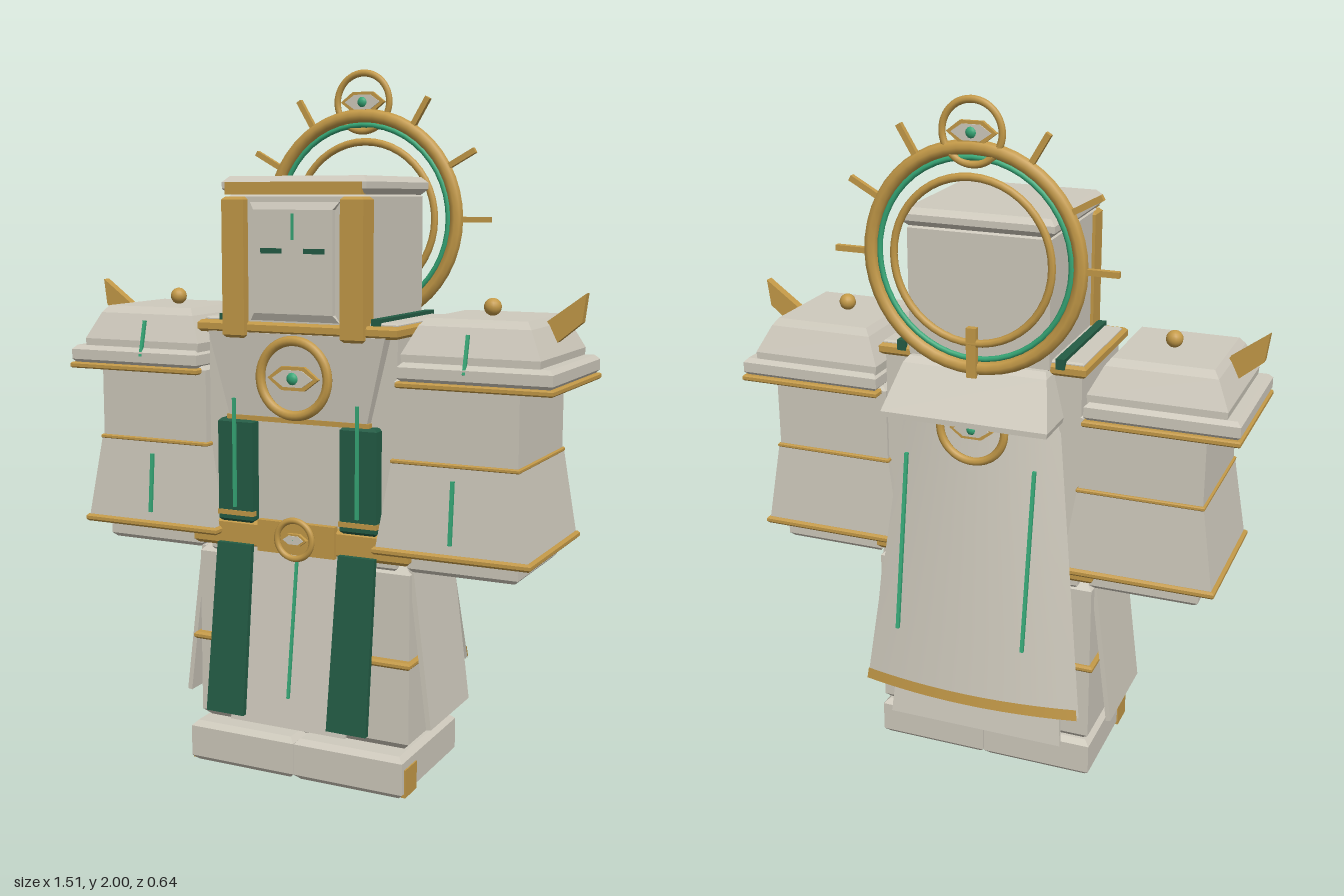
import * as THREE from 'three';

const mat = (name, color, side = THREE.FrontSide) => {
  const m = new THREE.MeshStandardMaterial({ color, side });
  m.name = name;
  return m;
};

export function createModel() {
  const stone = mat('pale stone', 0xcfcabd, THREE.DoubleSide);
  const gold = mat('gold', 0xc49a48);
  const green = mat('dark green cloth', 0x235c45);
  const emerald = mat('emerald', 0x36a877);
  const root = new THREE.Group();
  root.name = 'robedGuardian';

  const add = (name, geo, m, x = 0, y = 0, z = 0, parent = root) => {
    const mesh = new THREE.Mesh(geo, m);
    mesh.name = name;
    mesh.position.set(x, y, z);
    parent.add(mesh);
    return mesh;
  };
  const box = (name, m, w, h, d, x, y, z, parent) =>
    add(name, new THREE.BoxGeometry(w, h, d), m, x, y, z, parent);

  // Solid through rectangular sections [y, halfWidth, zBack, zFront], flat sided
  const loft = (name, m, sections, x = 0, parent = root) => {
    const pos = [];
    const rings = sections.map(([y, w, b, f]) => [[-w, y, f], [w, y, f], [w, y, b], [-w, y, b]]);
    const quad = (a, b, c, d) => [a, b, c, a, c, d].forEach(p => pos.push(...p));
    for (let i = 0; i < rings.length - 1; i++)
      for (let k = 0; k < 4; k++) {
        const n = (k + 1) % 4;
        quad(rings[i][k], rings[i][n], rings[i + 1][n], rings[i + 1][k]);
      }
    const lo = rings[0], hi = rings[rings.length - 1];
    quad(lo[3], lo[2], lo[1], lo[0]);
    quad(hi[0], hi[1], hi[2], hi[3]);
    const g = new THREE.BufferGeometry();
    g.setAttribute('position', new THREE.Float32BufferAttribute(pos, 3));
    g.computeVertexNormals();
    return add(name, g, m, x, 0, 0, parent);
  };
  // Box with small chamfers at its top and bottom
  const block = (name, m, w, y0, y1, b, f, c = 0.015, x = 0, parent = root) => loft(name, m, [
    [y0, w - c, b + c, f - c], [y0 + c, w, b, f], [y1 - c, w, b, f], [y1, w - c, b + c, f - c]], x, parent);
  // Thin panel leaning from its top edge (y, z) to its bottom edge
  const panel = (name, m, wTop, wBot, y0, z0, y1, z1, t, x = 0) => loft(name, m, [
    [y1, wBot, z1 - t / 2, z1 + t / 2], [y0, wTop, z0 - t / 2, z0 + t / 2]], x);
  const ring = (name, m, r, t, x, y, z, parent) =>
    add(name, new THREE.TorusGeometry(r, t, 8, 48), m, x, y, z, parent);

  // Lens shaped emblem with a gem, optionally ringed
  const lens = (w, h) => {
    const s = new THREE.Shape();
    s.moveTo(-w, 0);
    [[-w * 0.45, h], [w * 0.45, h], [w, 0], [w * 0.45, -h], [-w * 0.45, -h]].forEach(p => s.lineTo(...p));
    s.closePath();
    return s;
  };
  const extrude = (s, depth) => new THREE.ExtrudeGeometry(s, { depth, bevelEnabled: false });
  const emblem = (name, r, t, y, z, e, back = false) => {
    const g = new THREE.Group();
    g.name = name;
    g.position.set(0, y, z);
    if (back) g.rotation.y = Math.PI;
    root.add(g);
    ring('emblemRing', gold, r, t, 0, 0, 0, g);
    add('emblemLensRim', extrude(lens(e, e * 0.42), 0.012), gold, 0, 0, -0.006, g);
    add('emblemLens', extrude(lens(e * 0.8, e * 0.3), 0.018), stone, 0, 0, -0.009, g);
    const gem = add('emblemGem', new THREE.SphereGeometry(e * 0.26, 12, 8), emerald, 0, 0, 0, g);
    gem.scale.z = 0.9;
  };

  // Feet and lower robe
  for (const s of [-1, 1]) {
    block('foot', stone, 0.167, 0, 0.12, -0.13, 0.265, 0.015, s * 0.168);
    box('footSidePlate', gold, 0.012, 0.08, 0.08, s * 0.333, 0.043, 0.21);
  }
  block('lowerRobe', stone, 0.33, 0.11, 0.65, -0.125, 0.21, 0.03);
  block('robeBand', gold, 0.342, 0.36, 0.38, -0.137, 0.235, 0.006);
  box('frontHemTrim', gold, 0.4, 0.025, 0.012, 0, 0.19, 0.262);
  panel('frontPanel', stone, 0.16, 0.18, 0.66, 0.225, 0.165, 0.297, 0.012);
  panel('backPanel', stone, 0.23, 0.27, 0.63, -0.13, 0.14, -0.2, 0.012);
  panel('frontPanelLine', emerald, 0.004, 0.004, 0.63, 0.238, 0.25, 0.294, 0.008);
  for (const s of [-1, 1]) {
    const p = box('sidePanel', stone, 0.014, 0.45, 0.29, s * 0.355, 0.41, 0.05);
    p.rotation.z = s * 0.125;
  }

  // Torso, chest plate, belt
  block('torso', stone, 0.29, 0.62, 1.28, -0.13, 0.21);
  loft('chestPlate', stone, [[1.02, 0.21, 0.15, 0.235], [1.265, 0.27, 0.15, 0.25]]);
  box('chestLowerTrim', gold, 0.44, 0.014, 0.02, 0, 1.025, 0.228);
  block('neckBand', gold, 0.305, 1.262, 1.295, -0.145, 0.25, 0.008);
  block('shoulderYoke', stone, 0.295, 1.28, 1.303, -0.135, 0.22, 0.005);
  block('belt', gold, 0.335, 0.65, 0.73, -0.14, 0.235, 0.01);
  box('beltClasp', gold, 0.24, 0.09, 0.02, 0, 0.695, 0.237);
  emblem('beltEmblem', 0.054, 0.009, 0.695, 0.253, 0.04);
  emblem('chestEmblem', 0.103, 0.014, 1.145, 0.253, 0.078);
  for (const s of [-1, 1]) {
    box('neckTrim', green, 0.025, 0.03, 0.38, s * 0.233, 1.298, 0.04);
    block('upperTabard', green, 0.055, 0.725, 1.02, 0.2, 0.245, 0.008, s * 0.19);
    box('tabardTrim', gold, 0.114, 0.014, 0.02, s * 0.19, 0.752, 0.238);
    box('tabardLine', emerald, 0.009, 0.31, 0.008, s * 0.19, 0.925, 0.25);
    panel('lowerTabard', green, 0.055, 0.06, 0.665, 0.248, 0.185, 0.312, 0.016, s * 0.19);
  }

  // Head with framed face
  block('head', stone, 0.205, 1.27, 1.645, -0.155, 0.24, 0.01);
  block('headLid', stone, 0.218, 1.64, 1.69, -0.165, 0.255, 0.016);
  box('browBar', gold, 0.41, 0.034, 0.03, 0, 1.657, 0.247);
  loft('facePanel', stone, [[1.30, 0.135, 0.22, 0.247], [1.32, 0.12, 0.22, 0.256],
    [1.60, 0.12, 0.22, 0.256], [1.62, 0.135, 0.22, 0.247]]);
  box('foreheadLine', emerald, 0.006, 0.07, 0.008, 0, 1.555, 0.257);
  for (const s of [-1, 1]) {
    block('facePillar', gold, 0.034, 1.25, 1.635, 0.2, 0.266, 0.008, s * 0.18);
    box('eyeSlit', green, 0.062, 0.014, 0.008, s * 0.065, 1.49, 0.257);
  }

  // Arms: pad, sleeve, cuff, hand
  for (const s of [-1, 1]) {
    const arm = new THREE.Group();
    arm.name = s > 0 ? 'leftArm' : 'rightArm';
    root.add(arm);
    const c = s * 0.465, p = s * 0.52, k = s * 0.503;
    block('upperArm', stone, 0.175, 0.92, 1.16, -0.14, 0.235, 0.01, c, arm);
    loft('sleeve', stone, [[0.70, 0.215, -0.16, 0.262], [0.94, 0.178, -0.145, 0.24]], c, arm);
    block('sleeveBand', gold, 0.181, 0.932, 0.944, -0.148, 0.243, 0.003, c, arm);
    block('cuff', gold, 0.224, 0.684, 0.705, -0.168, 0.27, 0.006, c, arm);
    block('hand', stone, 0.157, 0.63, 0.70, -0.125, 0.212, 0.012, s * 0.48, arm);
    block('padTrim', gold, 0.216, 1.138, 1.155, -0.175, 0.263, 0.004, p, arm);
    block('padSlab', stone, 0.213, 1.152, 1.205, -0.168, 0.257, 0.012, p, arm);
    loft('padCap', stone, [[1.20, 0.19, -0.155, 0.24], [1.225, 0.192, -0.155, 0.24],
      [1.30, 0.155, -0.12, 0.208], [1.32, 0.14, -0.105, 0.19]], k, arm);
    add('padStud', new THREE.SphereGeometry(0.024, 16, 12), gold, s * 0.495, 1.343, 0.045, arm);
    const fin = new THREE.Shape([[0.66, 1.24], [0.745, 1.31], [0.755, 1.387], [0.65, 1.31]]
      .map(([x, y]) => new THREE.Vector2(s * x, y)));
    add('padFin', extrude(fin, 0.027), gold, 0, 0, 0.03, arm);
    const mark = box('padLine', emerald, 0.009, 0.105, 0.008, s * 0.495, 1.232, 0.242, arm);
    mark.rotation.x = -0.25;
    const line = box('sleeveLine', emerald, 0.01, 0.17, 0.008, s * 0.465, 0.815, 0.256, arm);
    line.rotation.x = -0.09;
  }

  // Cape: curved sheet widening downward, with a gold hem
  const cape = (name, m, y0, y1, off) => {
    const g = new THREE.PlaneGeometry(2, 1, 12, 4);
    const a = g.attributes.position;
    for (let i = 0; i < a.count; i++) {
      const u = a.getX(i), y = y1 + (y0 - y1) * (a.getY(i) + 0.5), t = (1.2 - y) / 0.94;
      a.setXYZ(i, -u * (0.22 + 0.112 * t), y, -0.13 - 0.105 * t - 0.035 * (1 - u * u) - off);
    }
    g.computeVertexNormals();
    return add(name, g, m);
  };
  cape('cape', stone, 1.2, 0.26, 0);
  cape('capeLining', stone, 1.2, 0.26, -0.012);
  cape('capeHem', gold, 0.295, 0.262, 0.006).material = mat('gold hem', 0xc49a48, THREE.DoubleSide);
  for (const s of [-1, 1])
    panel('capeLine', emerald, 0.005, 0.005, 1.01, -0.225, 0.5, -0.315, 0.009, s * 0.19);
  loft('backCollar', stone, [[1.13, 0.24, -0.275, -0.14], [1.145, 0.243, -0.275, -0.14],
    [1.265, 0.21, -0.19, -0.13], [1.28, 0.2, -0.17, -0.13]]);
  emblem('backEmblem', 0.095, 0.012, 1.1, -0.205, 0.065, true);
  box('haloPost', gold, 0.028, 0.14, 0.02, 0, 1.32, -0.2);

  // Halo rings, rays and crest
  const halo = new THREE.Group();
  halo.name = 'halo';
  halo.position.set(0, 1.57, -0.185);
  root.add(halo);
  ring('haloOuterRing', gold, 0.298, 0.02, 0, 0, 0, halo);
  ring('haloGreenRing', emerald, 0.272, 0.008, 0, 0, 0, halo);
  ring('haloInnerRing', gold, 0.224, 0.011, 0, 0, -0.015, halo);
  for (const deg of [0, 29, 59, 121, 151, 180]) {
    const a = deg * Math.PI / 180;
    const ray = box('haloRay', gold, 0.1, 0.016, 0.016, Math.cos(a) * 0.352, Math.sin(a) * 0.352, 0, halo);
    ray.rotation.z = a;
  }
  emblem('crestEmblem', 0.083, 0.01, 1.907, -0.19, 0.07);
  return root;
}
